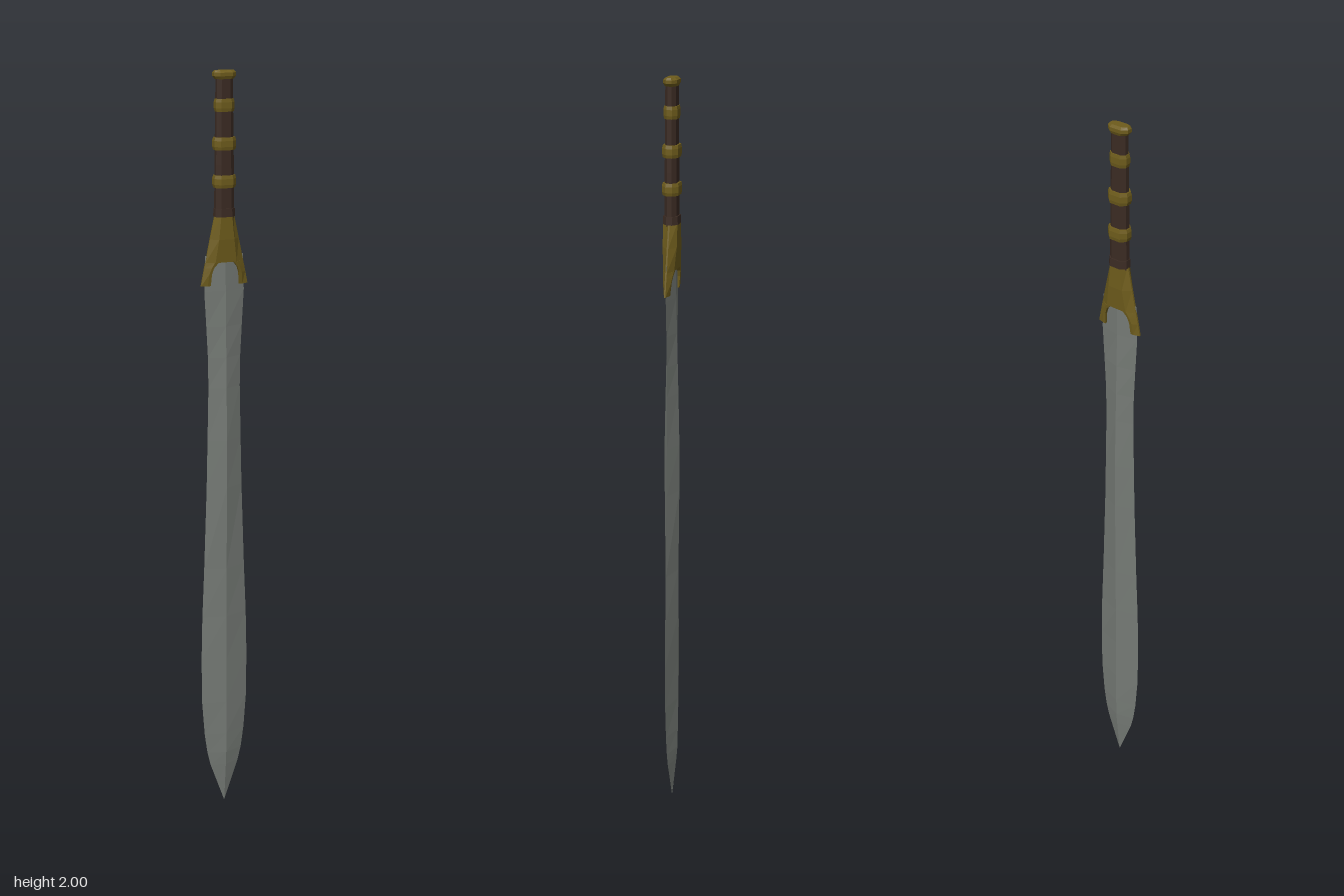
import * as THREE from 'three';

const steel = new THREE.MeshStandardMaterial({ color: 0x757a75 });
steel.name = 'steel';
const brass = new THREE.MeshStandardMaterial({ color: 0x6e5c1c });
brass.name = 'brass';
const leather = new THREE.MeshStandardMaterial({ color: 0x3b2b23 });
leather.name = 'leather';

// Joins rings of points (listed from bottom to top, anticlockwise seen from above) into a closed faceted solid.
function loft(rings) {
  const pos = [];
  const n = rings[0].length;
  const tri = (a, b, c) => pos.push(...a, ...b, ...c);
  for (let r = 0; r < rings.length - 1; r++) {
    const lo = rings[r], hi = rings[r + 1];
    for (let i = 0; i < n; i++) {
      const j = (i + 1) % n;
      tri(lo[i], lo[j], hi[j]);
      tri(lo[i], hi[j], hi[i]);
    }
  }
  const bottom = rings[0], top = rings[rings.length - 1];
  for (let i = 1; i < n - 1; i++) {
    tri(bottom[0], bottom[i + 1], bottom[i]);
    tri(top[0], top[i], top[i + 1]);
  }
  const g = new THREE.BufferGeometry();
  g.setAttribute('position', new THREE.Float32BufferAttribute(pos, 3));
  g.computeVertexNormals();
  return g;
}

function add(parent, name, geometry, material) {
  const mesh = new THREE.Mesh(geometry, material);
  mesh.name = name;
  parent.add(mesh);
  return mesh;
}

// Flattened octagonal ring: height, half width, half depth
const octagon = ([y, w, d]) => [
  [w, d * 0.4], [w * 0.55, d], [-w * 0.55, d], [-w, d * 0.4],
  [-w, -d * 0.4], [-w * 0.55, -d], [w * 0.55, -d], [w, -d * 0.4],
].map(([x, z]) => [x, y, z]).reverse();

export function createModel() {
  const sword = new THREE.Group();
  sword.name = 'sword';

  // Leaf-shaped blade with a diamond section: height, half width, half depth
  const bladeRows = [
    [0, 0.001, 0.001], [0.06, 0.021, 0.007], [0.12, 0.041, 0.013], [0.16, 0.05, 0.016],
    [0.22, 0.058, 0.017], [0.32, 0.065, 0.017], [0.45, 0.066, 0.017], [0.58, 0.063, 0.018],
    [0.72, 0.057, 0.018], [0.95, 0.049, 0.02], [1.08, 0.046, 0.02], [1.22, 0.043, 0.017],
    [1.3, 0.044, 0.015], [1.38, 0.048, 0.013], [1.47, 0.053, 0.011], [1.56, 0.05, 0.01],
  ];
  const diamond = ([y, w, d]) => [[w, y, 0], [0, y, d], [-w, y, 0], [0, y, -d]].reverse();
  add(sword, 'blade', loft(bladeRows.map(diamond)), steel);

  // Flared guard in two mirrored halves around an arch: height, arch edge, ridge, outer edge, half depth
  const guardRows = [
    [1.485, 0.038, 0.046, 0.062, 0.007], [1.515, 0.036, 0.043, 0.056, 0.01],
    [1.53, 0.031, 0.037, 0.053, 0.012], [1.543, 0.02, 0.03, 0.05, 0.014],
    [1.543, 0, 0.028, 0.05, 0.014], [1.6, 0, 0.02, 0.038, 0.018], [1.66, 0, 0.014, 0.025, 0.018],
  ];
  const guard = new THREE.Group();
  guard.name = 'guard';
  sword.add(guard);
  const halfRing = ([y, inner, ridge, outer, d]) => [
    [inner, y, -d], [inner, y, d], [ridge, y, d], [outer, y, 0.002], [outer, y, -0.002], [ridge, y, -d],
  ];
  const half = loft(guardRows.map(halfRing));
  add(guard, 'guardLeft', half, brass);
  add(guard, 'guardRight', half.clone().rotateY(Math.PI), brass);

  // Leather grip
  add(sword, 'grip', loft([[1.65, 0.024, 0.015], [1.78, 0.023, 0.0145], [1.99, 0.02, 0.013]].map(octagon)), leather);

  // Brass bands around the grip
  [[1.74, 0.028, 0.021], [1.83, 0.028, 0.02], [1.92, 0.024, 0.017]].forEach(([y, w, d], i) => {
    const rows = [[-0.015, 0.92], [-0.007, 1], [0.007, 1], [0.015, 0.92]];
    add(sword, `gripBand${i + 1}`, loft(rows.map(([dy, s]) => octagon([y + dy, w * s, d * s]))), brass);
  });

  // Dark collar between guard and grip
  add(sword, 'collar', loft([[1.655, 0.026, 0.019], [1.675, 0.025, 0.018]].map(octagon)), leather);

  // Pommel cap
  add(sword, 'pommel', loft([[1.98, 0.022, 0.014], [1.987, 0.028, 0.017],
    [1.995, 0.028, 0.017], [2, 0.024, 0.011]].map(octagon)), brass);

  return sword;
}
